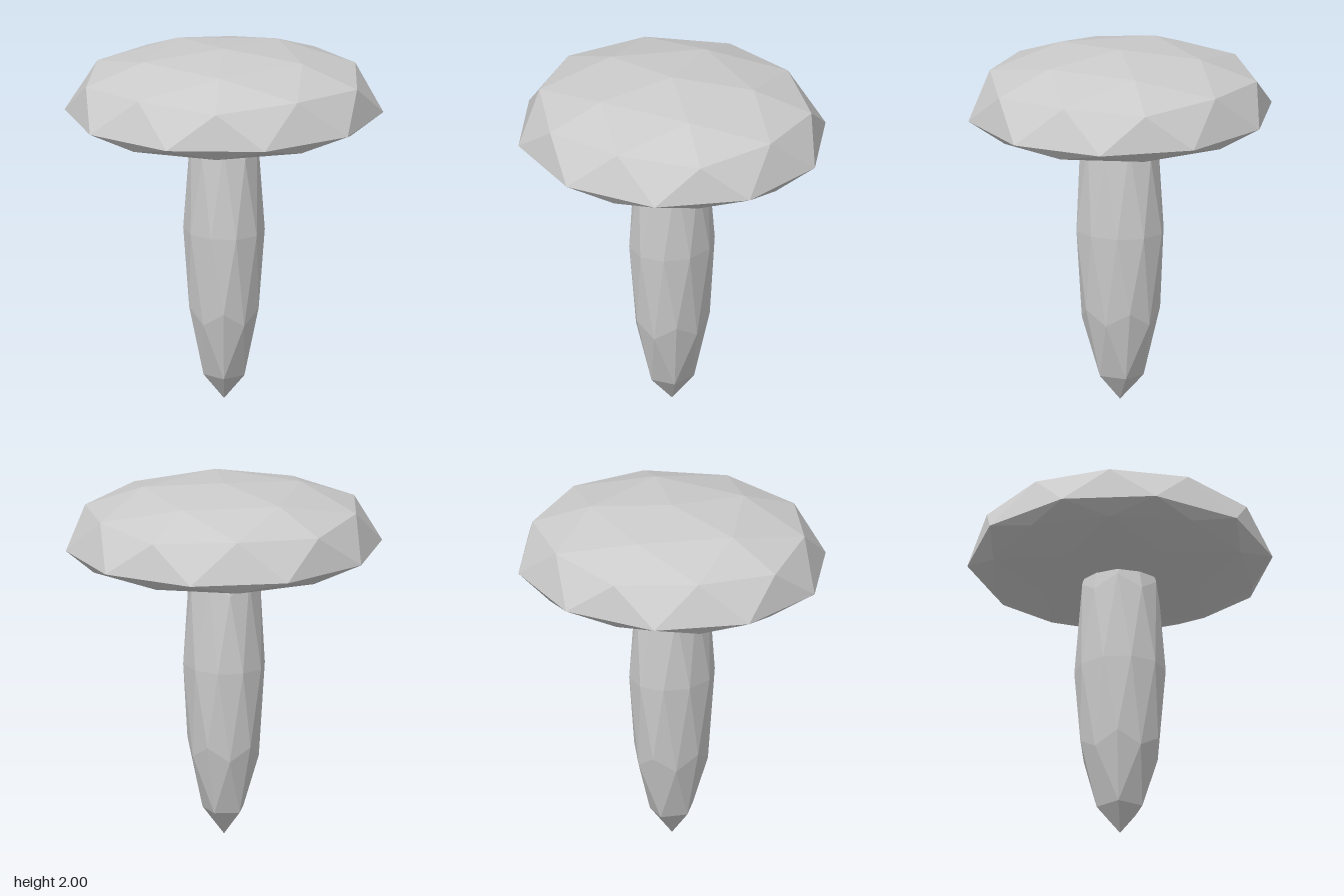
import * as THREE from 'three';

// Faceted ball with a vertex at each pole, reshaped by a height rule and x/z radii
function facetedBall(name, radiusX, radiusZ, turn, heightAt) {
  const geometry = new THREE.IcosahedronGeometry(1, 1);
  geometry.rotateZ(-Math.atan(2 / (1 + Math.sqrt(5)))); // bring a vertex to the top
  geometry.rotateY(turn);
  const p = geometry.attributes.position;
  for (let i = 0; i < p.count; i++) {
    p.setXYZ(i, p.getX(i) * radiusX, heightAt(p.getY(i)), p.getZ(i) * radiusZ);
  }
  geometry.computeVertexNormals();
  const material = new THREE.MeshStandardMaterial({ color: 0xcccccc, flatShading: true });
  const mesh = new THREE.Mesh(geometry, material);
  mesh.name = name;
  return mesh;
}

export function createModel() {
  const group = new THREE.Group();
  group.name = 'mushroom';

  // Cap: domed top, rim pulled down, shallow underside
  group.add(facetedBall('cap', 0.88, 0.841, Math.PI, (v) =>
    v > 0.01 ? 2 - 0.29 * (1 - v) : 1.506 + 0.139 * (1 + v)));

  // Stem: long tapering body whose top is buried in the cap
  group.add(facetedBall('stem', 0.222, 0.252, 0, (v) => 0.975 * (1 + v)));

  return group;
}
